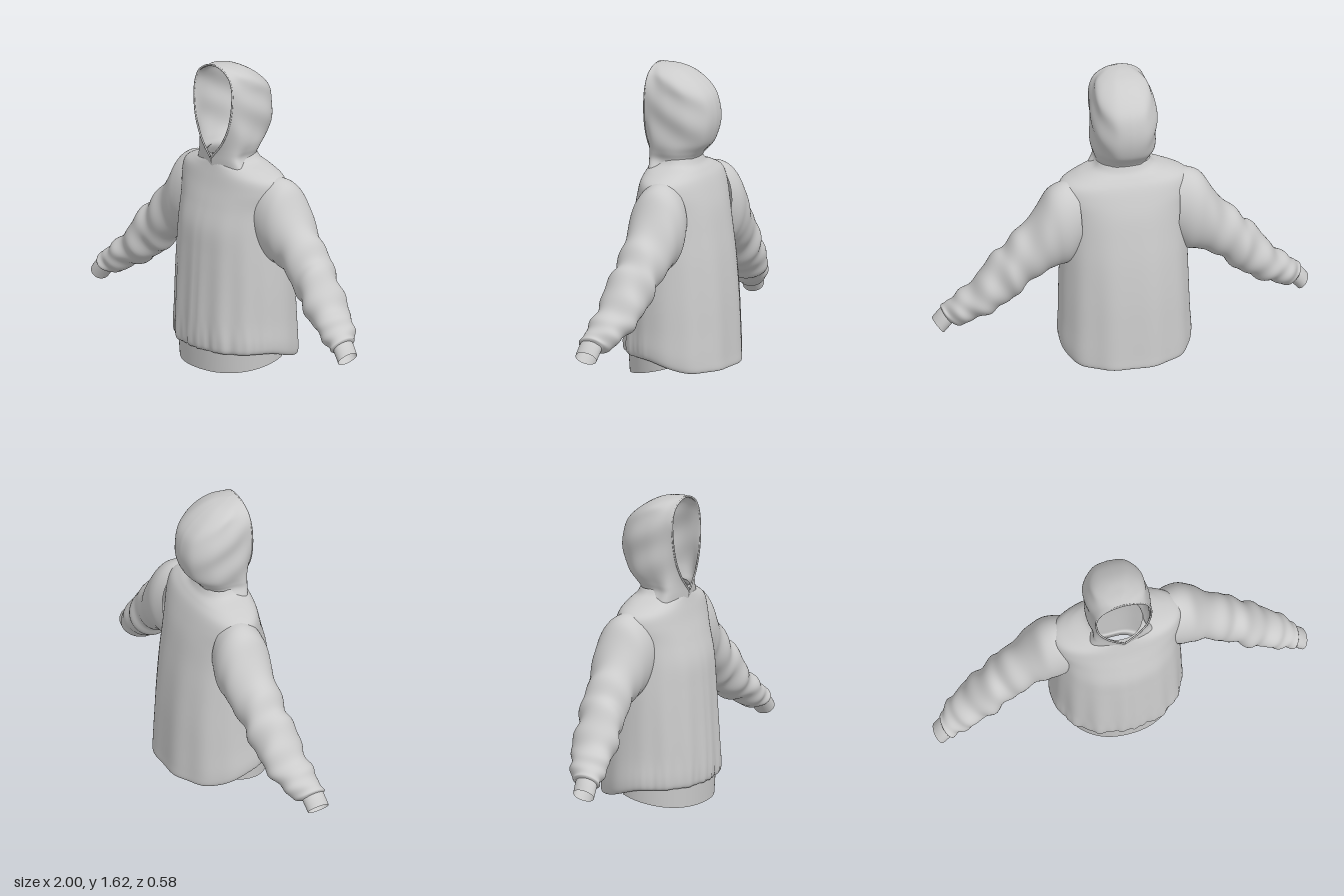
import * as THREE from 'three';

const material = new THREE.MeshStandardMaterial({ color: 0xcccccc, side: THREE.DoubleSide });

// Smoothly interpolate a table of section rows into n + 1 rows
function smoothRows(rows, n) {
  const cr = (a, b, c, d, t) => 0.5 * (2 * b + (c - a) * t + (2 * a - 5 * b + 4 * c - d) * t * t
    + (3 * b - a - 3 * c + d) * t * t * t);
  const at = i => rows[Math.max(0, Math.min(rows.length - 1, i))];
  return Array.from({ length: n + 1 }, (_, k) => {
    const s = k / n * (rows.length - 1);
    const i = Math.min(rows.length - 2, Math.floor(s));
    return rows[0].map((_, c) => cr(at(i - 1)[c], at(i)[c], at(i + 1)[c], at(i + 2)[c], s - i));
  });
}

// Skin a list of point rings
function loft(name, rings, closed) {
  const m = rings[0].length, pos = [], index = [];
  rings.forEach(r => r.forEach(p => pos.push(...p)));
  for (let i = 0; i < rings.length - 1; i++) {
    for (let j = 0; j < (closed ? m : m - 1); j++) {
      const a = i * m + j, b = i * m + (j + 1) % m;
      index.push(a, b, a + m, b, b + m, a + m);
    }
  }
  const geo = new THREE.BufferGeometry();
  geo.setAttribute('position', new THREE.Float32BufferAttribute(pos, 3));
  geo.setIndex(index);
  geo.computeVertexNormals();
  const mesh = new THREE.Mesh(geo, material);
  mesh.name = name;
  return mesh;
}

const circle = n => Array.from({ length: n }, (_, j) => j / n * Math.PI * 2);
const step = THREE.MathUtils.smoothstep;

// Body: rows of y, half width, front z, back z
function makeBody() {
  const rows = smoothRows([
    [0.15, 0.29, 0.23, -0.25], [0.115, 0.315, 0.255, -0.275], [0.12, 0.34, 0.28, -0.288],
    [0.17, 0.348, 0.287, -0.286], [0.28, 0.342, 0.284, -0.28], [0.45, 0.338, 0.275, -0.268],
    [0.62, 0.333, 0.265, -0.25], [0.76, 0.328, 0.253, -0.228], [0.88, 0.333, 0.22, -0.205],
    [0.97, 0.35, 0.192, -0.178], [1.035, 0.335, 0.175, -0.152], [1.075, 0.255, 0.165, -0.125],
    [1.105, 0.165, 0.158, -0.1], [1.14, 0.135, 0.15, -0.085],
  ], 90);
  const rings = rows.map(([y, w, zf, zb]) => circle(160).map(a => {
    const s = Math.sin(a), c = Math.cos(a);
    const low = 1 - step(y, 0.1, 1.05);
    const hem = 1 - step(y, 0.12, 0.3);
    const front = Math.max(0, c), back = Math.max(0, -c);
    // Long drape folds, with a tight gather above the hem
    let f = 1 + low * (0.022 * front * Math.cos(a * 14) + 0.016 * back * Math.cos(a * 11 + 0.6))
      + 0.012 * hem * front * Math.sin(a * 37 + 2 * Math.sin(a * 5))
      + 0.008 * Math.sin(a * 3 + y * 7) * Math.abs(s) * low;
    f -= 0.03 * Math.exp(-((a > Math.PI ? a - 2 * Math.PI : a) ** 2) / 0.0012) * low;
    const x = w * Math.sign(s) * Math.abs(s) ** 0.88 * f;
    const z = (c > 0 ? zf : -zb) * c * f;
    // The hem hangs lower at the back
    const drop = (1 - step(y, 0.1, 0.4)) * 0.065 * step(-c, -0.3, 0.7);
    return [x, y - drop, z];
  }));
  return loft('body', rings, true);
}

// Waistband: a curved strip round the front and sides
function makeWaistband() {
  const rings = [0, 0.25, 0.5, 0.75, 1].map(t => Array.from({ length: 61 }, (_, j) => {
    const a = (j / 60 * 2 - 1) * 1.8, c = Math.cos(a), s = Math.sin(a);
    const bottom = 0.07 * Math.pow((1 - c) / 1.23, 1.3);
    const r = 1 + 0.03 * t;
    return [0.308 * Math.sign(s) * Math.abs(s) ** 0.9 * r, THREE.MathUtils.lerp(bottom, 0.14, t),
      (c > 0 ? 0.262 : 0.24) * c * r];
  }));
  return loft('waistband', rings, false);
}

// Tube rows: top x, top y, bottom x, bottom y, back z, front z
function sleeveRings(rows, n, side, wrinkle) {
  return smoothRows(rows, n).map(([tx, ty, bx, by, zb, zf], k) => circle(56).map(a => {
    const t = k / n;
    const amp = wrinkle * step(t, 0.12, 0.5) * (1 - step(t, 0.94, 1));
    const f = 1 + amp * (0.06 * Math.sin(t * 34 + 2.2 * Math.sin(a + 0.7)) + 0.04 * Math.sin(t * 57 - 2 * Math.cos(a)));
    const c = Math.cos(a) * f / 2, s = Math.sin(a) * f / 2;
    return [side * ((tx + bx) / 2 + (tx - bx) * c), (ty + by) / 2 + (ty - by) * c,
      (zb + zf) / 2 + (zf - zb) * s];
  }));
}

function makeSleeve(side) {
  const group = new THREE.Group();
  group.name = side > 0 ? 'leftSleeve' : 'rightSleeve';
  group.add(loft('sleeve', sleeveRings([
    [0.27, 1.05, 0.25, 0.66, -0.15, 0.12], [0.35, 1.045, 0.31, 0.6, -0.172, 0.125],
    [0.415, 1.0, 0.37, 0.585, -0.17, 0.12], [0.5, 0.865, 0.44, 0.56, -0.155, 0.105],
    [0.6, 0.755, 0.53, 0.485, -0.135, 0.105], [0.685, 0.665, 0.6, 0.42, -0.125, 0.115],
    [0.77, 0.545, 0.67, 0.365, -0.11, 0.125], [0.85, 0.455, 0.75, 0.325, -0.085, 0.13],
    [0.91, 0.4, 0.825, 0.28, -0.05, 0.135], [0.95, 0.36, 0.88, 0.258, -0.015, 0.138],
    [0.955, 0.335, 0.905, 0.27, 0.01, 0.13],
  ], 80, side, 1), true));
  group.add(loft('cuff', sleeveRings([
    [0.945, 0.35, 0.89, 0.275, 0.01, 0.13], [0.975, 0.318, 0.918, 0.243, 0.015, 0.135],
    [1.0, 0.285, 0.943, 0.212, 0.02, 0.138],
  ], 6, side, 0), true));
  return group;
}

// Hood rows: y, half width, half opening, front z, back z
const hoodRows = [
  [1.08, 0.16, 0.0, 0.165, -0.09], [1.13, 0.142, 0.008, 0.17, -0.085],
  [1.17, 0.148, 0.045, 0.168, -0.115], [1.22, 0.157, 0.085, 0.165, -0.16],
  [1.3, 0.165, 0.125, 0.16, -0.188], [1.38, 0.166, 0.145, 0.156, -0.193],
  [1.46, 0.162, 0.151, 0.152, -0.175], [1.52, 0.152, 0.145, 0.148, -0.13],
  [1.57, 0.128, 0.122, 0.145, -0.065], [1.6, 0.088, 0.083, 0.143, -0.005],
  [1.615, 0.045, 0.042, 0.142, 0.06], [1.62, 0, 0, 0.141, 0.1],
];

function hoodRings(inset) {
  return smoothRows(hoodRows, 66).map(([y, w, o, zf, zb]) => {
    const d = zf - zb;
    const k = Math.max(0, 1 - inset / Math.max(w, 0.02));
    const half = smoothRows([[o, zf], [Math.max(o, w * 0.95), zf - d * 0.16], [w, zf - d * 0.42],
      [w * 0.9, zf - d * 0.72], [w * 0.52, zf - d * 0.95], [0, zb]], 30);
    const shape = ([x, z], j, sign) => {
      const t = j / 30;
      const fold = 0.006 * Math.sin(t * Math.PI) * Math.sin(y * 34 + t * 9 + sign) * Math.min(1, w / 0.12);
      return [sign * Math.max(0, x * k + fold), y - inset * step(y, 1.45, 1.62), z + (j ? inset * t : 0)];
    };
    const left = half.map((p, j) => shape(p, j, 1));
    const right = half.map((p, j) => shape(p, j, -1)).slice(0, -1).reverse();
    return [...left, ...right];
  });
}

function makeHood() {
  const group = new THREE.Group();
  group.name = 'hood';
  group.add(loft('hoodShell', hoodRings(0), false));
  group.add(loft('hoodLining', hoodRings(0.008), false));
  // Rolled edge round the face opening
  const edge = smoothRows(hoodRows.slice(1), 40);
  const points = [
    ...edge.map(([y, , o, z]) => new THREE.Vector3(Math.max(0, o - 0.003), y - 0.003, z)),
    ...edge.slice(0, -1).reverse().map(([y, , o, z]) => new THREE.Vector3(-Math.max(0, o - 0.003), y - 0.003, z)),
  ];
  const rim = new THREE.Mesh(new THREE.TubeGeometry(new THREE.CatmullRomCurve3(points), 140, 0.005, 8), material);
  rim.name = 'hoodRim';
  group.add(rim);
  return group;
}

export function createModel() {
  const model = new THREE.Group();
  model.name = 'hoodedJacket';
  model.add(makeBody(), makeWaistband(), makeSleeve(1), makeSleeve(-1), makeHood());
  return model;
}
